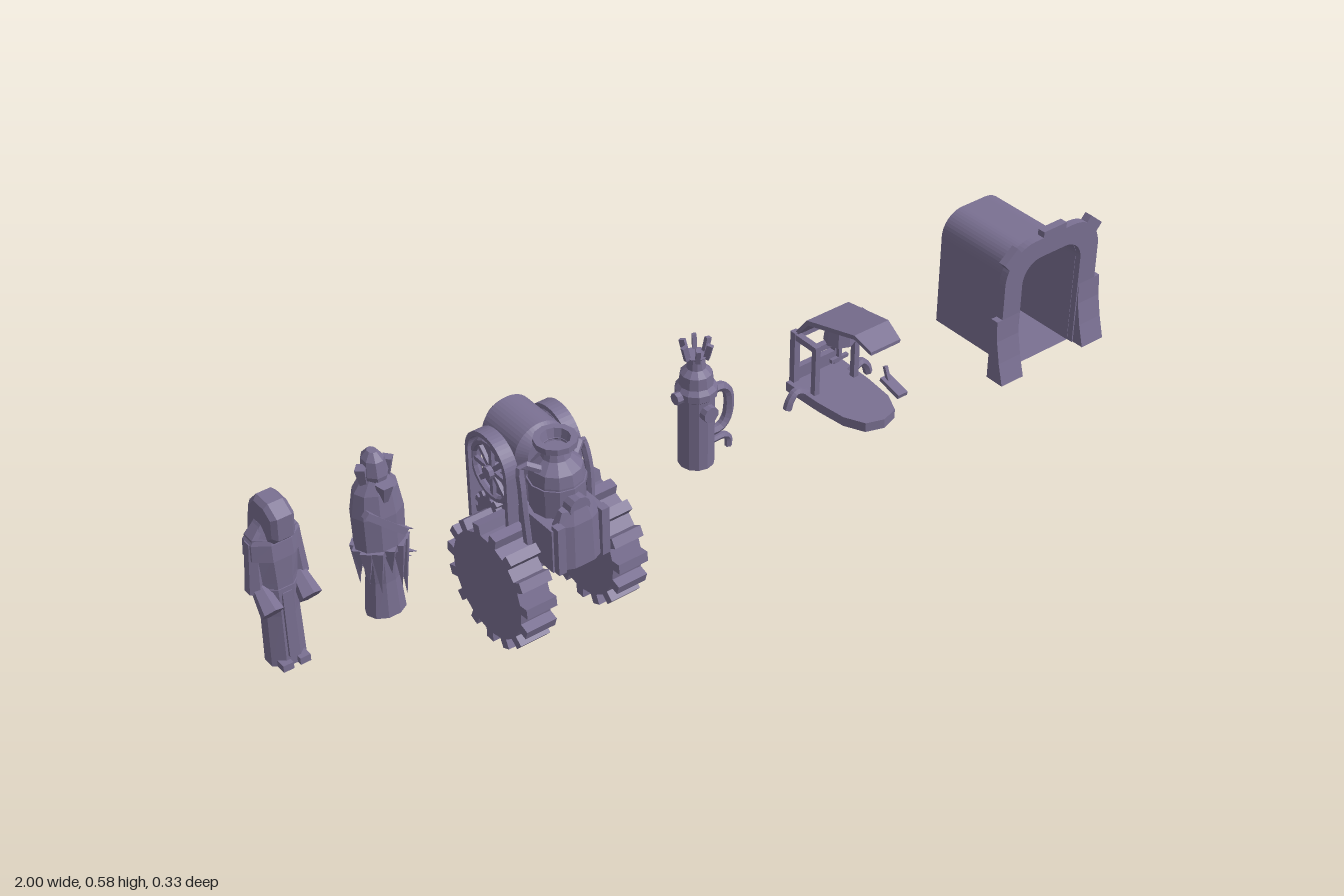
import * as THREE from 'three';

const mat = new THREE.MeshStandardMaterial({ color: 0x7a7092, flatShading: true, side: THREE.DoubleSide });

function add(parent, name, geo, x = 0, y = 0, z = 0, rx = 0, ry = 0, rz = 0) {
  const m = new THREE.Mesh(geo, mat);
  m.name = name;
  m.position.set(x, y, z);
  m.rotation.set(rx, ry, rz);
  parent.add(m);
  return m;
}
function group(parent, name, x, y, z) {
  const g = new THREE.Group();
  g.name = name;
  g.position.set(x, y, z);
  parent.add(g);
  return g;
}
const box = (w, h, d) => new THREE.BoxGeometry(w, h, d);
const cyl = (a, b, h, n = 12) => new THREE.CylinderGeometry(a, b, h, n);
const lathe = (pts, n = 12) => new THREE.LatheGeometry(pts.map(p => new THREE.Vector2(...p)), n);
const tube = (pts, r) => new THREE.TubeGeometry(
  new THREE.CatmullRomCurve3(pts.map(p => new THREE.Vector3(...p)), false, 'centripetal'), 16, r, 6);
const poly = pts => new THREE.Shape(pts.map(p => new THREE.Vector2(...p)));
const extrude = (shape, depth, bevel = 0) => new THREE.ExtrudeGeometry(shape, {
  depth, curveSegments: 6, bevelEnabled: bevel > 0, bevelSize: bevel, bevelThickness: bevel, bevelSegments: 1 });

// Stacks elliptical sections [y, radiusX, radiusZ, centreZ] into a closed body
function loft(sections, n = 8) {
  const pos = [], idx = [];
  sections.forEach(([y, rx, rz, cz = 0]) => {
    for (let i = 0; i < n; i++) {
      const a = (i + 0.5) / n * Math.PI * 2;
      pos.push(Math.sin(a) * rx, y, Math.cos(a) * rz + cz);
    }
  });
  for (let s = 0; s < sections.length - 1; s++)
    for (let i = 0; i < n; i++) {
      const a = s * n + i, b = s * n + (i + 1) % n;
      idx.push(a, b, b + n, a, b + n, a + n);
    }
  const top = (sections.length - 1) * n;
  for (let i = 1; i < n - 1; i++) idx.push(0, i + 1, i, top, top + i, top + i + 1);
  const g = new THREE.BufferGeometry();
  g.setAttribute('position', new THREE.Float32BufferAttribute(pos, 3));
  g.setIndex(idx);
  g.computeVertexNormals();
  return g;
}

// Arch outline with rounded upper corners, standing on y = 0
function arch(w, h, r, Type = THREE.Shape) {
  const s = new Type();
  s.moveTo(-w, 0); s.lineTo(w, 0); s.lineTo(w, h - r);
  s.absarc(w - r, h - r, r, 0, Math.PI / 2);
  s.absarc(-w + r, h - r, r, Math.PI / 2, Math.PI);
  s.closePath();
  return s;
}

function hoodedFigure(root) {
  const g = group(root, 'hoodedFigure', -0.937, 0.2, -0.028);
  add(g, 'robe', loft([[0, 0.04, 0.034], [0.12, 0.037, 0.034], [0.2, 0.042, 0.036], [0.26, 0.05, 0.038], [0.3, 0.05, 0.036], [0.325, 0.025, 0.026]]));
  add(g, 'mantle', loft([[0.255, 0.056, 0.043], [0.29, 0.054, 0.04], [0.325, 0.026, 0.03]]));
  add(g, 'hood', extrude(poly([[0.01, 0.28], [0.048, 0.315], [0.05, 0.355], [0.028, 0.369], [-0.005, 0.369], [-0.028, 0.345], [-0.042, 0.28]]), 0.03, 0.009), -0.015, 0, 0, 0, -Math.PI / 2, 0).position.x = 0.015;
  add(g, 'face', loft([[0.29, 0.014, 0.014, 0.02], [0.33, 0.018, 0.02, 0.022], [0.36, 0.014, 0.016, 0.022]]));
  add(g, 'sash', box(0.02, 0.15, 0.006), 0, 0.1, 0.034);
  add(g, 'belt', loft([[0.17, 0.043, 0.038], [0.185, 0.043, 0.038]]));
  for (const s of [-1, 1]) {
    add(g, 'upperSleeve', cyl(0.015, 0.019, 0.11, 6), s * 0.042, 0.235, 0.002, 0, 0, s * 0.06);
    add(g, 'sleeveCuff', cyl(0.014, 0.023, 0.065, 6), s * 0.04, 0.172, 0.023, -0.9);
    add(g, 'shoe', box(0.022, 0.015, 0.035), s * 0.018, 0.008, 0.025);
  }
}

function raggedFigure(root) {
  const g = group(root, 'raggedFigure', -0.717, 0.2, -0.03);
  add(g, 'robe', loft([[0, 0.042, 0.034], [0.08, 0.034, 0.03], [0.19, 0.04, 0.035], [0.27, 0.046, 0.036], [0.305, 0.024, 0.024]], 10));
  add(g, 'cloak', loft([[0.15, 0.052, 0.04], [0.24, 0.054, 0.042], [0.29, 0.045, 0.036], [0.32, 0.022, 0.026]], 10));
  add(g, 'head', loft([[0.29, 0.017, 0.02, 0.006], [0.325, 0.025, 0.028, 0.004], [0.355, 0.021, 0.026], [0.37, 0.009, 0.012]]));
  add(g, 'beard', new THREE.ConeGeometry(0.018, 0.08, 5), 0, 0.275, 0.03, Math.PI + 0.15);
  for (const s of [-1, 1]) add(g, 'hairLock', new THREE.ConeGeometry(0.014, 0.11, 4), s * 0.022, 0.29, 0.004, Math.PI, 0, s * 0.12);
  // Torn strips hanging around the hem, longer towards the left side
  for (let i = 0; i < 12; i++) {
    const a = i / 12 * Math.PI * 2, left = Math.max(0, Math.sin(a)), len = 0.06 + 0.05 * left + 0.02 * (i % 3);
    add(g, 'cloakStrip', new THREE.ConeGeometry(0.016, len, 4), Math.sin(a) * 0.045, 0.165 - len / 2, Math.cos(a) * 0.036, Math.PI);
  }
  for (let i = 0; i < 5; i++)
    add(g, 'cloakSpike', new THREE.ConeGeometry(0.011, 0.055, 4), 0.042 + 0.002 * i, 0.205 - i * 0.028, (i % 2) * 0.025 - 0.012, 0, 0, -2.1);
  add(g, 'shoulderFold', box(0.11, 0.014, 0.014), -0.004, 0.225, 0.034, 0, 0, -0.75);
}

function gearShape(teeth, r0, r1, halfWidth) {
  const pts = [];
  for (let i = 0; i < teeth; i++) {
    const a = -Math.PI / 2 + i / teeth * Math.PI * 2;
    for (const [r, w] of [[r0, -1], [r1, -1], [r1, 1], [r0, 1]])
      pts.push([r * Math.cos(a) - w * halfWidth * Math.sin(a), r * Math.sin(a) + w * halfWidth * Math.cos(a)]);
  }
  return poly(pts);
}

function engine(root) {
  const g = group(root, 'tractorEngine', -0.345, 0, 0);
  const cz = -0.095, cy = 0.345;
  for (const s of [-1, 1]) {
    add(g, 'toothedWheel', extrude(gearShape(15, 0.115, 0.137, 0.011), 0.07), s * 0.11 - 0.035, 0.137, -0.028, 0, Math.PI / 2);
    add(g, 'wheelHub', cyl(0.03, 0.03, 0.05), s * 0.06, 0.137, -0.028, 0, 0, Math.PI / 2);
    // Spoked flywheel and its arched guard
    add(g, 'flywheelRim', new THREE.TorusGeometry(0.062, 0.008, 6, 20), s * 0.075, cy, cz, 0, Math.PI / 2);
    add(g, 'flywheelHub', cyl(0.014, 0.014, 0.034, 8), s * 0.073, cy, cz, 0, 0, Math.PI / 2);
    for (let i = 0; i < 4; i++) add(g, 'flywheelSpoke', box(0.008, 0.124, 0.01), s * 0.075, cy, cz, i * Math.PI / 4);
    const guard = arch(0.07, 0.235, 0.069);
    guard.holes.push(arch(0.06, 0.225, 0.059, THREE.Path));
    add(g, 'flywheelGuard', extrude(guard, 0.03), s * 0.075 - 0.015, 0.2, cz, 0, Math.PI / 2);
    add(g, 'lowerGear', extrude(gearShape(10, 0.035, 0.045, 0.007), 0.014), s * 0.073 - 0.007, 0.235, -0.11, 0, Math.PI / 2);
    add(g, 'steamPipe', tube([[s * 0.04, 0.4, 0.02], [s * 0.07, 0.41, 0.0], [s * 0.078, 0.36, 0.01], [s * 0.075, 0.22, 0.02]], 0.009));
  }
  add(g, 'axle', cyl(0.014, 0.014, 0.24), 0, 0.137, -0.028, 0, 0, Math.PI / 2);
  add(g, 'rearHousing', extrude(arch(0.042, 0.222, 0.041), 0.11, 0.018), 0, 0.218, -0.147);
  add(g, 'lowerHousing', box(0.13, 0.1, 0.13), 0, 0.25, 0.02);
  add(g, 'frontSkirt', loft([[0.2, 0.06, 0.028], [0.3, 0.055, 0.025], [0.33, 0.04, 0.016]]), 0, 0, 0.075);
  add(g, 'boiler', lathe([[0, 0.2], [0.056, 0.2], [0.056, 0.37], [0.052, 0.395], [0.03, 0.415], [0.024, 0.435], [0.044, 0.442], [0.044, 0.455], [0.03, 0.455], [0.024, 0.43], [0, 0.43]]), 0, 0, 0.015);
  add(g, 'boilerBand', cyl(0.059, 0.059, 0.012), 0, 0.36, 0.015);
  add(g, 'frontHatch', cyl(0.024, 0.024, 0.03), 0, 0.33, 0.075, Math.PI / 2);
  for (const s of [-1, 1]) add(g, 'skirtPillar', box(0.018, 0.11, 0.02), s * 0.052, 0.255, 0.09);
}

function steamPost(root) {
  const g = group(root, 'steamPost', 0.03, 0.2, -0.03);
  add(g, 'tank', lathe([[0, 0], [0.038, 0], [0.038, 0.165], [0.044, 0.17], [0.044, 0.185], [0.036, 0.195], [0.033, 0.22], [0.02, 0.232], [0.017, 0.255], [0.025, 0.262], [0, 0.262]]));
  for (let i = 0; i < 6; i++) {
    const a = i * Math.PI / 3;
    add(g, 'crownProng', box(0.012, 0.034, 0.009), Math.cos(a) * 0.026, 0.273, Math.sin(a) * 0.026, 0, -a, -0.25);
  }
  add(g, 'sidePipe', tube([[0.03, 0.155, 0], [0.06, 0.158, 0], [0.08, 0.14, 0], [0.08, 0.08, 0], [0.062, 0.058, 0], [0.03, 0.056, 0]], 0.011));
  add(g, 'drainPipe', tube([[0.03, 0.032, 0], [0.07, 0.032, 0], [0.083, 0.022, 0], [0.084, 0, 0]], 0.008));
  add(g, 'sideValve', cyl(0.013, 0.013, 0.025, 8), -0.042, 0.175, 0, 0, 0, Math.PI / 2);
  add(g, 'gauge', cyl(0.018, 0.018, 0.02, 10), 0, 0.14, 0.04, Math.PI / 2);
}

function cab(root) {
  const g = group(root, 'driverCab', 0.4, 0.2, 0);
  // Tapered deck, widest at the back, rounded at the nose
  const deck = poly([[-0.074, 0.1], [0.074, 0.1], [0.07, 0.0], [0.062, -0.07], [0.04, -0.115], [0, -0.128], [-0.04, -0.115], [-0.062, -0.07], [-0.07, 0.0]]);
  add(g, 'deck', extrude(deck, 0.022), 0, 0.004, 0, -Math.PI / 2);
  for (const s of [-1, 1]) {
    add(g, 'rearPost', box(0.015, 0.13, 0.015), s * 0.056, 0.085, -0.095);
    add(g, 'frontPost', box(0.013, 0.12, 0.013), s * 0.054, 0.085, -0.03);
    add(g, 'sideRail', box(0.014, 0.014, 0.08), s * 0.055, 0.14, -0.062);
    add(g, 'sideBracket', tube([[s * 0.06, 0.02, -0.05], [s * 0.09, 0.035, -0.05], [s * 0.105, 0.02, -0.05], [s * 0.112, 0, -0.05]], 0.01));
  }
  for (const z of [-0.095, -0.03]) add(g, 'crossBeam', box(0.125, 0.014, 0.014), 0, 0.14, z);
  add(g, 'sill', box(0.125, 0.03, 0.014), 0, 0.045, -0.095);
  // Folded canopy rising towards the front
  const roof = poly([[-0.105, 0.135], [-0.06, 0.195], [0.075, 0.225], [0.12, 0.205], [0.12, 0.197], [0.075, 0.215], [-0.055, 0.185], [-0.097, 0.133]]);
  const canopy = extrude(roof, 0.13), p = canopy.attributes.position;
  for (let i = 0; i < p.count; i++) p.setZ(i, (p.getZ(i) - 0.065) * (0.87 - Math.max(0, p.getX(i)) * 2.2));
  canopy.computeVertexNormals();
  add(g, 'canopy', canopy, 0, 0, 0, 0, -Math.PI / 2);
  add(g, 'lamp', cyl(0.028, 0.034, 0.05, 8), 0, 0.17, -0.02);
  add(g, 'lampBracket', box(0.03, 0.012, 0.012), 0.05, 0.19, -0.02);
  add(g, 'controlRod', box(0.008, 0.05, 0.008), 0, 0.12, -0.02);
  add(g, 'controlGrip', box(0.045, 0.008, 0.008), 0, 0.1, -0.02);
  add(g, 'pedal', box(0.026, 0.01, 0.06), 0.104, 0.015, 0.04, 0.25);
  add(g, 'pedalLever', box(0.008, 0.045, 0.008), 0.104, 0.03, 0.02, -0.4);
}

function vault(root) {
  const g = group(root, 'vault', 0.847, 0.2, 0);
  const shell = arch(0.088, 0.27, 0.055);
  shell.holes.push(arch(0.084, 0.266, 0.051, THREE.Path));
  add(g, 'vaultShell', extrude(shell, 0.23), 0, 0, -0.105);
  add(g, 'backWall', extrude(arch(0.088, 0.27, 0.055), 0.004), 0, 0, -0.105);
  // Arched portal: a band from left foot to right foot
  const w = 0.135, h = 0.31, r = 0.08, portal = new THREE.Shape();
  portal.moveTo(w, 0); portal.lineTo(w, h - r);
  portal.absarc(w - r, h - r, r, 0, Math.PI / 2);
  portal.absarc(-w + r, h - r, r, Math.PI / 2, Math.PI);
  portal.lineTo(-w, 0); portal.lineTo(-0.085, 0); portal.lineTo(-0.085, 0.215);
  portal.absarc(-0.035, 0.215, 0.05, Math.PI, Math.PI / 2, true);
  portal.absarc(0.035, 0.215, 0.05, Math.PI / 2, 0, true);
  portal.lineTo(0.085, 0);
  add(g, 'portal', extrude(portal, 0.018), 0, 0, 0.121);
  add(g, 'keystone', box(0.065, 0.026, 0.018), 0, 0.311, 0.13);
  for (const s of [-1, 1]) {
    add(g, 'cornerStone', box(0.045, 0.026, 0.018), s * 0.115, 0.288, 0.13, 0, 0, -s * 0.7);
    // Buttress flaring forward at the foot
    const foot = poly([[0.121, 0], [0.167, 0], [0.153, 0.05], [0.143, 0.1], [0.139, 0.148], [0.121, 0.148]]);
    add(g, 'buttress', extrude(foot, 0.062), s * 0.119 + 0.031, 0, 0, 0, -Math.PI / 2);
  }
}

export function createModel() {
  const root = new THREE.Group();
  root.name = 'steamTractorSet';
  [hoodedFigure, raggedFigure, engine, steamPost, cab, vault].forEach(build => build(root));
  return root;
}
